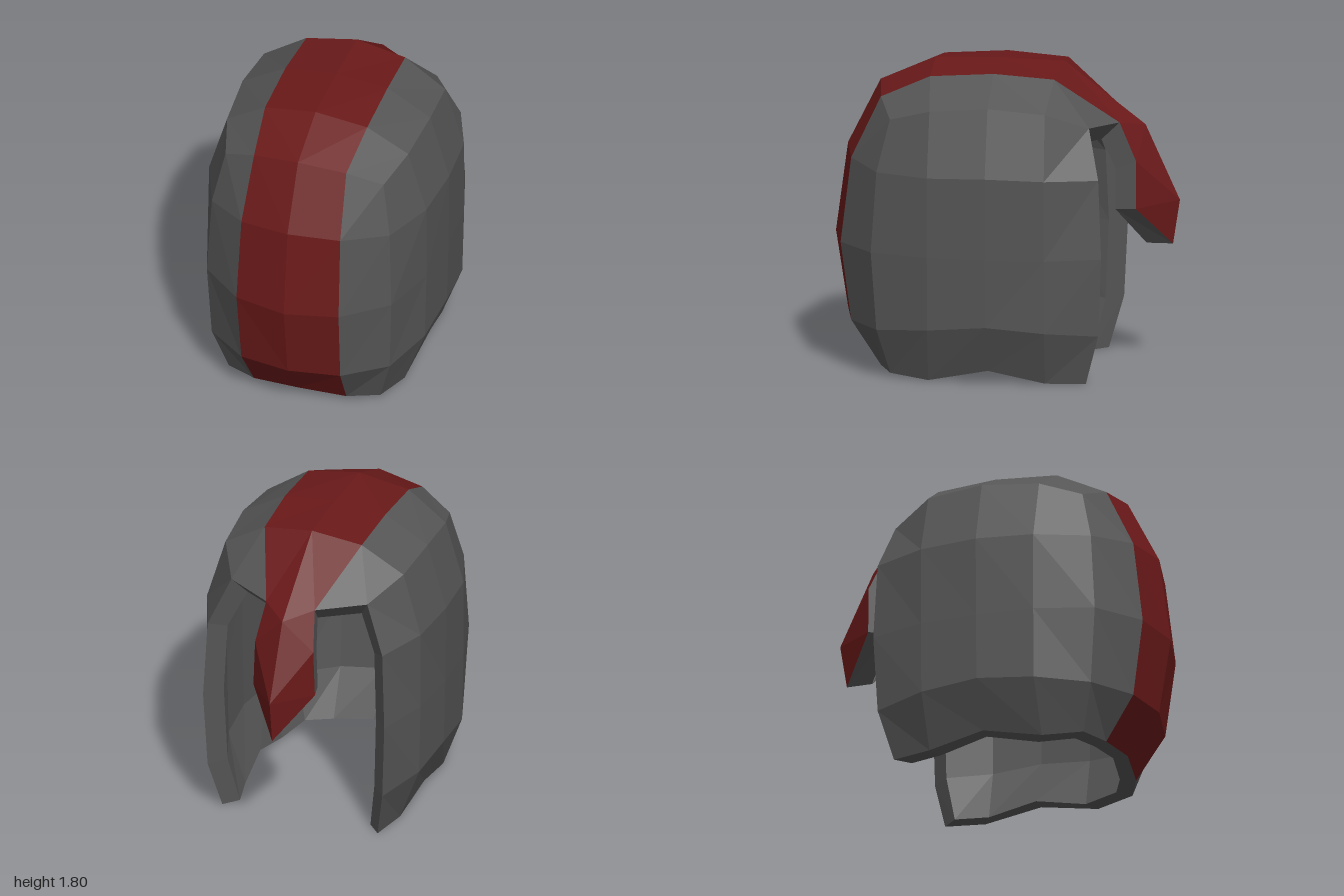
import * as THREE from 'three';

// Half cross-sections running up the front, over the top and down the rear: [corner, mid, centre]
const strip = [
  [[0.46, 0.03, 0.62], [0.28, 0.035, 0.70], [0, 0.06, 0.74]],
  [[0.54, 0.30, 0.69], [0.30, 0.30, 0.87], [0, 0.31, 0.93]],
  [[0.56, 0.76, 0.72], [0.31, 0.76, 0.93], [0, 0.76, 1.0]],
  [[0.54, 1.23, 0.69], [0.30, 1.26, 0.87], [0, 1.28, 0.93]],
  [[0.48, 1.53, 0.62], [0.28, 1.62, 0.70], [0, 1.66, 0.74]],
  [[0.55, 1.60, 0.38], [0.31, 1.755, 0.41], [0, 1.80, 0.42]],
  [[0.57, 1.63, 0.04], [0.31, 1.78, 0.04], [0, 1.81, 0.04]],
  [[0.55, 1.60, -0.29], [0.30, 1.755, -0.31], [0, 1.80, -0.33]],
  [[0.42, 1.50, -0.53], [0.15, 1.48, -0.67], [0, 1.44, -0.80]],
];
// Hanging guard rows: [mid, centre]
const guard = [
  [[0.18, 1.26, -0.77], [0, 1.0, -1.0]],
  [[0.19, 0.98, -0.77], [0, 0.74, -0.96]],
];
// Side columns from front to rear, each listed bottom to top
const corner = (r) => strip[r][0];
const side = [
  [0, 1, 2, 3, 4].map(corner),
  [[0.53, 0.01, 0.39], [0.65, 0.33, 0.38], [0.66, 0.76, 0.38], [0.66, 1.23, 0.38], corner(5)],
  [[0.55, 0.08, 0.04], [0.67, 0.36, 0.04], [0.68, 0.76, 0.04], [0.685, 1.24, 0.04], corner(6)],
  [[0.53, 0.01, -0.29], [0.65, 0.33, -0.30], [0.66, 0.76, -0.30], [0.66, 1.23, -0.30], corner(7)],
  [[0.48, 0.005, -0.52], [0.54, 0.30, -0.60], [0.56, 0.76, -0.62], [0.54, 1.22, -0.60], corner(8)],
];

// Inner surface point matching an outer one
function inset([x, y, z]) {
  const drop = y > 0.75 ? Math.min(0.13, 0.2 * (y - 0.75) ** 2) : 0;
  return [x * 0.84, y - drop, z * (z > 0 ? 0.88 : 0.84)];
}

// Flat-shaded mesh from quads of the +x half, mirrored to -x
function quadMesh(name, quads, color) {
  const pos = [];
  const flip = ([x, y, z]) => [-x, y, z];
  for (const [a, b, c, d] of quads) {
    for (const p of [a, b, c, a, c, d]) pos.push(...p);
    for (const p of [a, c, b, a, d, c]) pos.push(...flip(p));
  }
  const geo = new THREE.BufferGeometry();
  geo.setAttribute('position', new THREE.Float32BufferAttribute(pos, 3));
  geo.computeVertexNormals();
  const mesh = new THREE.Mesh(geo, new THREE.MeshStandardMaterial({ color, flatShading: true }));
  mesh.name = name;
  return mesh;
}

export function createModel() {
  const grey = 0x555555, red = 0x6a1919;
  const band = [], shell = [];

  // Central band and the grey strips beside it
  for (let r = 0; r < 8; r++) {
    const [c0, m0, e0] = strip[r], [c1, m1, e1] = strip[r + 1];
    band.push([e0, m0, m1, e1]);
    shell.push([m0, c0, c1, m1]);
  }
  // Guard continues the band
  const tail = [strip[8].slice(1), ...guard];
  for (let r = 0; r < 2; r++) {
    const [m0, e0] = tail[r], [m1, e1] = tail[r + 1];
    band.push([e0, m0, m1, e1]);
  }
  // Side panels
  for (let c = 0; c < 4; c++) {
    for (let r = 0; r < 4; r++) {
      shell.push([side[c][r], side[c + 1][r], side[c + 1][r + 1], side[c][r + 1]]);
    }
  }

  // Lining is the whole outside, inset and reversed
  const lining = [...band, ...shell].map((q) => q.map(inset).reverse());

  // Rim follows the open border: bottom, rear opening, guard
  const border = [
    strip[0][2], strip[0][1], ...side.map((col) => col[0]), ...side[4].slice(1),
    strip[8][1], guard[0][0], guard[1][0], guard[1][1],
  ];
  const rim = [];
  for (let i = 0; i < border.length - 1; i++) {
    const a = border[i], b = border[i + 1];
    rim.push([b, a, inset(a), inset(b)]);
  }

  const group = new THREE.Group();
  group.name = 'helmet';
  group.add(
    quadMesh('centreBandAndGuard', band, red),
    quadMesh('outerShell', shell, grey),
    quadMesh('lining', lining, grey),
    quadMesh('rim', rim, grey),
  );
  return group;
}
